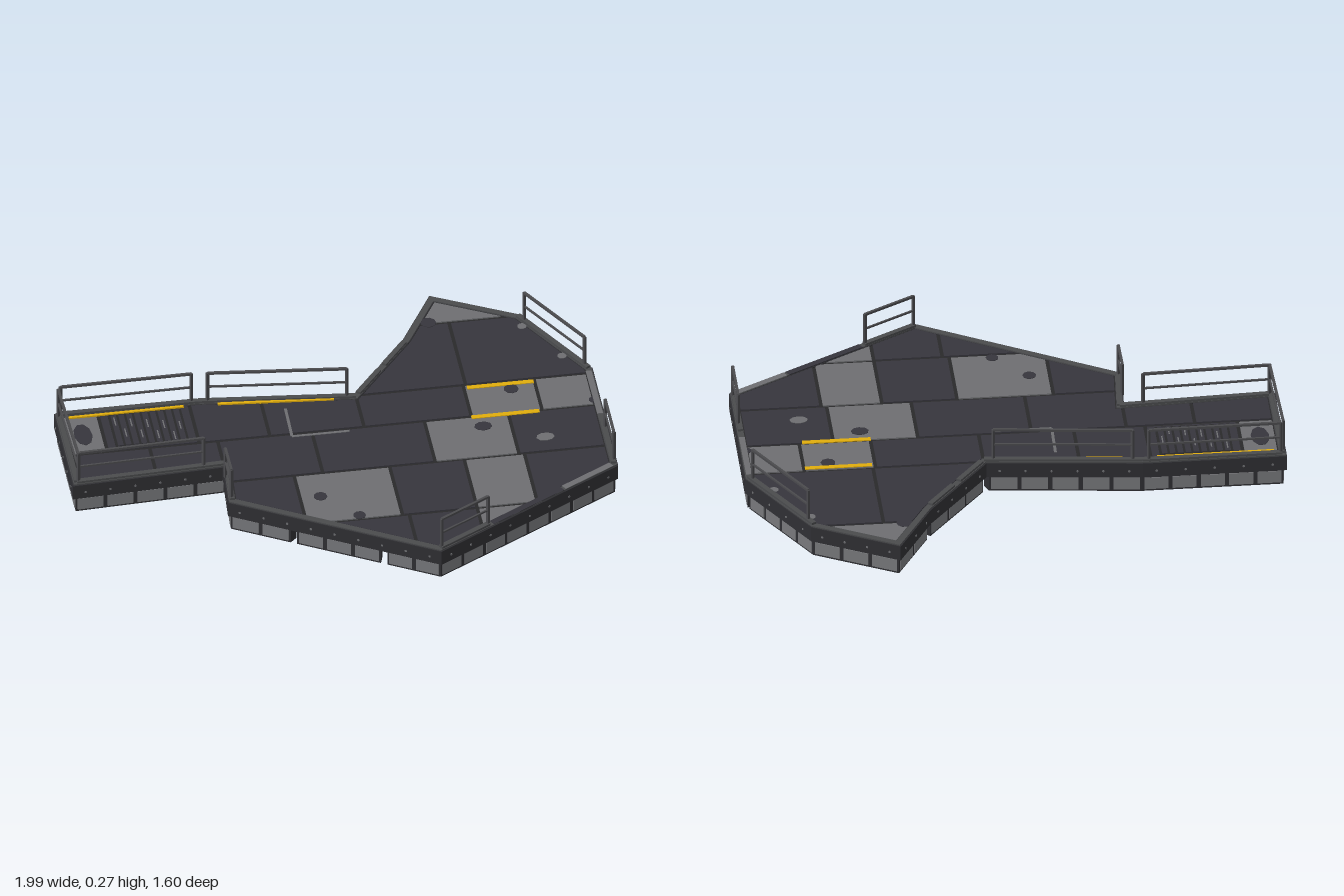
import * as THREE from 'three';

const mat = (name, color) => new THREE.MeshStandardMaterial({ name, color });

export function createModel() {
  const dark = mat('dark panel', 0x36353c), light = mat('light panel', 0x6d6e71), plate = mat('skirt plate', 0x77787b);
  const frame = mat('frame', 0x2f2f33), seam = mat('seam', 0x29292a), rimM = mat('rim', 0x4a4b4d);
  const railM = mat('railing', 0x4a4a4d), yellow = mat('yellow paint', 0xe0ac0c), under = mat('underside', 0x1e1e20);
  const root = new THREE.Group();
  root.name = 'platform';

  // Plan outline as [x, z], clockwise seen from above
  const outline = [[-0.997, -0.4], [-0.765, -0.8], [-0.29, -0.525], [0.185, -0.18], [0.55, -0.33], [0.8, -0.48],
    [0.993, -0.17], [0.993, 0.26], [0.68, 0.797], [-0.18, 0.797], [-0.61, 0.05], [-0.485, -0.135]];
  const N = outline.length;

  // Mitred inward offset of the outline
  const inset = (d) => outline.map((p, i) => {
    const a = outline[(i + N - 1) % N], b = outline[(i + 1) % N];
    const n = (s, e) => { const l = Math.hypot(e[0] - s[0], e[1] - s[1]); return [-(e[1] - s[1]) / l, (e[0] - s[0]) / l]; };
    const n1 = n(a, p), n2 = n(p, b), k = d / (1 + n1[0] * n2[0] + n1[1] * n2[1]);
    return [p[0] + (n1[0] + n2[0]) * k, p[1] + (n1[1] + n2[1]) * k];
  });
  const toPts = (pts) => pts.map(([x, z]) => new THREE.Vector2(x, -z));

  const add = (name, geo, m, parent = root) => {
    const mesh = new THREE.Mesh(geo, m);
    mesh.name = name;
    parent.add(mesh);
    return mesh;
  };
  // Flat slab from a plan polygon; holes run the opposite way round
  const slab = (name, pts, y0, y1, m, hole, parent) => {
    const s = new THREE.Shape(toPts(pts));
    if (hole) s.holes.push(new THREE.Path(toPts(hole).reverse()));
    const g = new THREE.ExtrudeGeometry(s, { depth: y1 - y0, bevelEnabled: false });
    g.rotateX(-Math.PI / 2).translate(0, y0, 0);
    return add(name, g, m, parent);
  };
  // Box running between two plan points
  const bar = (name, a, b, y0, y1, w, m, parent) => {
    const dx = b[0] - a[0], dz = b[1] - a[1];
    const mesh = add(name, new THREE.BoxGeometry(Math.hypot(dx, dz), y1 - y0, w), m, parent);
    mesh.position.set((a[0] + b[0]) / 2, (y0 + y1) / 2, (a[1] + b[1]) / 2);
    mesh.rotation.y = -Math.atan2(dz, dx);
    return mesh;
  };
  const mix = (a, b, t) => [a[0] + (b[0] - a[0]) * t, a[1] + (b[1] - a[1]) * t];

  // Deck coordinates (u along the walkway, v across it), turned 30 degrees
  const C = Math.cos(Math.PI / 6), S = 0.5;
  const toUV = ([x, z]) => [C * x + S * z, -S * x + C * z];
  const toXZ = ([u, v]) => [C * u - S * v, S * u + C * v];

  // Structure: deck core, side band and rim
  slab('underside', inset(0.028), 0.06, 0.068, under);
  slab('deckBase', inset(0.01), 0.068, 0.124, seam);
  slab('sideBand', outline, 0.066, 0.127, frame, inset(0.03));
  slab('rim', inset(0.004), 0.127, 0.132, rimM, inset(0.028));

  // Skirt with a few breaks, faced with plates on both sides; bolts on the band above
  const spans = { 2: [[0, 0.975]], 3: [[0.035, 0.965]], 4: [[0.045, 1]], 6: [[0, 0.97]], 9: [[0, 0.255], [0.285, 0.685], [0.715, 1]] };
  const outer = inset(0.012), innerLine = inset(0.046);
  const details = new THREE.Group();
  details.name = 'sideDetails';
  root.add(details);
  const boltGeo = new THREE.CylinderGeometry(0.005, 0.005, 0.004, 6).rotateX(Math.PI / 2);
  for (let i = 0; i < N; i++) {
    const j = (i + 1) % N, a = outer[i], b = outer[j], c = innerLine[i], d = innerLine[j];
    for (const [s, e] of spans[i] ?? [[0, 1]]) {
      const a1 = mix(a, b, s), b1 = mix(a, b, e), c1 = mix(c, d, s), d1 = mix(c, d, e);
      slab('skirt', [a1, b1, d1, c1], 0, 0.066, frame, null, details);
      const len = Math.hypot(b1[0] - a1[0], b1[1] - a1[1]), n = Math.max(1, Math.round(len / 0.11)), g = 0.008 / len;
      for (let k = 0; k < n; k++) {
        const t0 = k / n + g, t1 = (k + 1) / n - g;
        bar('skirtPlate', mix(a1, b1, t0), mix(a1, b1, t1), 0.008, 0.058, 0.006, plate, details);
        bar('innerPlate', mix(c1, d1, t0), mix(c1, d1, t1), 0.01, 0.05, 0.006, light, details);
      }
    }
    const p = outline[i], q = outline[j], bolts = Math.round(Math.hypot(q[0] - p[0], q[1] - p[1]) / 0.1);
    for (let k = 0; k < bolts; k++) {
      const at = mix(p, q, (k + 0.5) / bolts);
      const bolt = add('bolt', boltGeo, light, details);
      bolt.position.set(at[0], 0.094, at[1]);
      bolt.rotation.y = -Math.atan2(q[1] - p[1], q[0] - p[0]);
    }
  }

  // Deck panels: rectangles in u, v clipped to the inner outline
  const inner = inset(0.033).map(toUV);
  const clip = (poly, axis, lim, sign) => poly.flatMap((p, i) => {
    const q = poly[(i + 1) % poly.length], dp = (p[axis] - lim) * sign, dq = (q[axis] - lim) * sign;
    const out = dp >= 0 ? [p] : [];
    if (dp * dq < 0) out.push(mix(p, q, dp / (dp - dq)));
    return out;
  });
  const gap = 0.007;
  const rows = [
    [-0.9, -0.64, [0.2, 1.1], 'l'],
    [-0.64, -0.24, [0, 0.5, 1.1], 'dd'],
    [-0.305, -0.24, [-1.1, -0.9, -0.55, -0.28, 0.03], 'lddd'],
    [-0.24, -0.04, [-1.1, -0.9, -0.55, -0.28, 0.08, 0.49, 0.76, 1.1], 'lddddll'],
    [-0.04, 0.22, [-1.1, -0.74, -0.48, -0.12, 0.31, 0.63, 1.1], 'ddddld'],
    [0.22, 0.53, [-0.6, -0.23, 0.135, 0.42, 0.65, 1.1], 'dldld'],
    [0.53, 0.9, [-0.3, 0.16, 0.42, 0.665, 1.1], 'ddld'],
  ];
  const deck = new THREE.Group();
  deck.name = 'deckPanels';
  root.add(deck);
  for (const [v0, v1, us, cols] of rows) {
    for (let k = 0; k < cols.length; k++) {
      // the walkway's two strips join without a seam
      const lo = v0 === -0.24 && k < 4 ? v0 : v0 + gap, hi = v1 === -0.24 && v0 === -0.305 ? v1 : v1 - gap;
      let p = clip(inner, 0, us[k] + gap, 1);
      p = clip(p, 0, us[k + 1] - gap, -1);
      p = clip(p, 1, lo, 1);
      p = clip(p, 1, hi, -1);
      if (p.length > 2) slab('deckPanel', p.map(toXZ), 0.122, 0.129, cols[k] === 'l' ? light : dark, null, deck);
    }
  }

  // Ventilation grille on the walkway, with scuffed slat edges
  bar('grilleRecess', toXZ([-0.865, -0.16]), toXZ([-0.585, -0.16]), 0.127, 0.13, 0.21, seam);
  for (let i = 0; i < 9; i++) {
    const u = -0.845 + i * 0.03, v = -0.24 + ((i * 5) % 9) * 0.015;
    bar('grilleSlat', toXZ([u, -0.255]), toXZ([u, -0.065]), 0.129, 0.135, 0.021, dark);
    bar('slatScuff', toXZ([u, v]), toXZ([u, v + 0.05]), 0.134, 0.136, 0.005, light);
  }

  // Yellow markings
  [[[-0.745, -0.742], [-0.36, -0.522]], [[-0.25, -0.453], [0.11, -0.2]]].forEach(([a, b]) =>
    bar('walkwayLine', a, b, 0.128, 0.135, 0.011, yellow));
  [[[0.545, 0.06], [0.765, 0.187]], [[0.44, 0.215], [0.665, 0.345]]].forEach(([a, b]) =>
    bar('hatchLine', a, b, 0.128, 0.132, 0.02, yellow));

  // Worn patches, [x, z, radius, stretch]
  const patches = (list, m) => list.forEach(([x, z, r, stretch = 1]) => {
    const mesh = add('wornPatch', new THREE.CylinderGeometry(r, r, 0.003, 9), m);
    mesh.scale.z = stretch;
    mesh.rotation.y = -0.5;
    mesh.position.set(x, 0.1295, z);
  });
  patches([[-0.315, 0.24, 0.026], [-0.275, 0.425, 0.024], [0.67, 0.17, 0.028], [0.44, 0.285, 0.034, 0.8],
    [0.69, -0.35, 0.03], [-0.765, -0.625, 0.035, 1.9], [0.87, 0.42, 0.02]], dark);
  patches([[0.58, 0.485, 0.035, 0.7], [0.95, 0.13, 0.018], [0.95, -0.11, 0.018]], light);
  [[[-0.16, -0.12], [-0.04, -0.05]], [[-0.16, -0.12], [-0.07, -0.27]], [[-0.04, -0.05], [0.03, -0.01]]].forEach(([a, b]) =>
    bar('wornEdge', a, b, 0.128, 0.131, 0.011, light));

  // Raised kerbs along part of the edge, [side, start, end]
  const kerbLine = inset(0.017);
  [[0, 0, 1], [1, 0, 1], [2, 0, 1], [11, 0, 1], [10, 0, 1], [3, 0.05, 0.45], [3, 0.55, 0.95], [6, 0, 1],
    [7, 0.55, 1], [8, 0.72, 1]].forEach(([i, s, e]) => {
    const a = kerbLine[i], b = kerbLine[(i + 1) % N];
    bar('kerb', mix(a, b, s), mix(a, b, e), 0.13, 0.141, 0.02, rimM);
  });
  bar('edgePlate', [0.43, 0.78], [0.66, 0.78], 0.13, 0.134, 0.025, light);
  bar('edgePlate', [0.08, 0.78], [0.42, 0.78], 0.13, 0.134, 0.025, dark);
  bar('edgePlate', [0.83, 0.505], [0.965, 0.27], 0.13, 0.134, 0.022, light);

  // Guard rails: two end posts, top and middle bar
  const rails = [[[-0.968, -0.405], [-0.772, -0.765]], [[-0.755, -0.772], [-0.32, -0.525]], [[-0.27, -0.49], [0.155, -0.18]],
    [[-0.965, -0.407], [-0.54, -0.182]], [[-0.585, 0.04], [-0.517, -0.08]], [[-0.165, 0.78], [0.06, 0.78]],
    [[0.685, 0.765], [0.788, 0.587]], [[0.976, 0.232], [0.976, -0.128]]];
  for (const [a, b] of rails) {
    const g = new THREE.Group();
    g.name = 'guardRail';
    root.add(g);
    for (const [x, z] of [a, b]) add('railPost', new THREE.BoxGeometry(0.01, 0.136, 0.01), railM, g).position.set(x, 0.198, z);
    bar('topBar', a, b, 0.26, 0.269, 0.01, railM, g);
    bar('middleBar', a, b, 0.198, 0.205, 0.007, railM, g);
  }

  // Floor beams below the deck, along the walkway direction
  [[-0.38, 0.3, 0.88], [-0.04, -1, 0.93], [0.26, -0.42, 0.93], [0.5, -0.12, 0.68]].forEach(([v, u0, u1]) =>
    bar('floorBeam', toXZ([u0, v]), toXZ([u1, v]), 0.035, 0.062, 0.03, light));

  return root;
}
